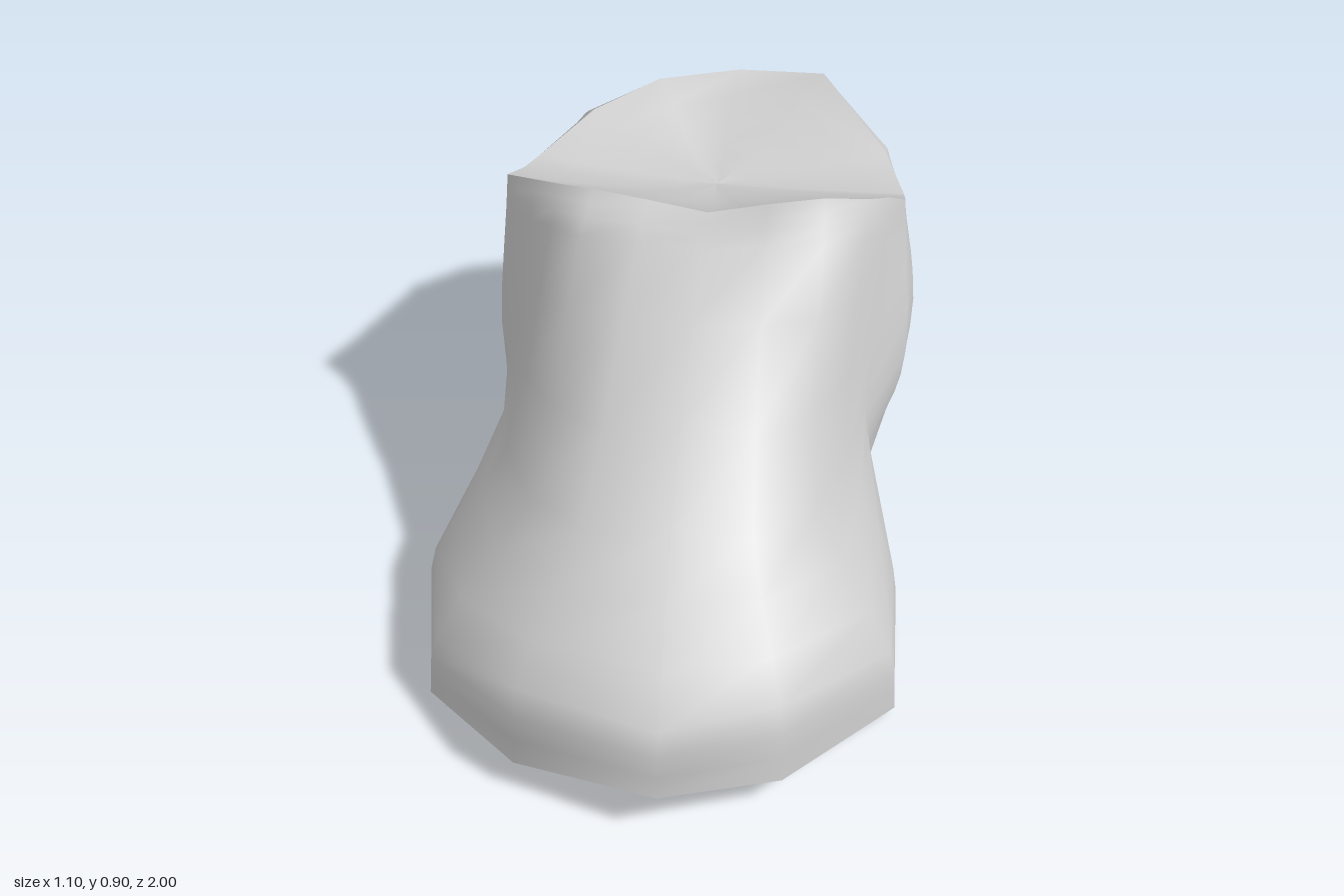
import * as THREE from 'three';

// Loops run toe -> left side (+x) -> heel -> right side (-x), one [x, y, z] per column.
const sole = [
  [.03, .125, 1], [.28, .085, .9], [.52, .03, .63], [.525, .015, .36], [.45, 0, 0],
  [.4, .02, -.18], [.44, .1, -.29], [.47, .035, -.41], [.465, .02, -.65], [.35, .03, -.87],
  [.1, .04, -1], [-.2, .03, -.9], [-.36, .02, -.64], [-.39, .035, -.41], [-.41, .1, -.29],
  [-.38, .02, -.18], [-.45, 0, 0], [-.55, .015, .37], [-.5, .03, .66], [-.28, .08, .89],
];
const waist = [
  [.03, .49, .6], [.2, .46, .58], [.33, .45, .46], [.395, .43, .24], [.44, .42, .03],
  [.53, .44, -.12], [.55, .49, -.28], [.55, .48, -.41], [.5, .42, -.66], [.35, .36, -.86],
  [.1, .36, -.937], [-.2, .36, -.868], [-.4, .41, -.62], [-.45, .42, -.42], [-.455, .42, -.31],
  [-.45, .42, -.2], [-.385, .43, .02], [-.37, .4, .25], [-.29, .44, .46], [-.16, .47, .59],
];
const rim = [
  [.06, .85, -.06], [.19, .88, -.055], [.32, .905, -.05], [.42, .84, -.16], [.47, .81, -.22],
  [.51, .775, -.27], [.513, .735, -.35], [.515, .7, -.42], [.47, .735, -.56], [.31, .87, -.7],
  [.1, .85, -.745], [-.1, .845, -.69], [-.26, .785, -.63], [-.38, .735, -.48], [-.4, .77, -.36],
  [-.42, .82, -.24], [-.35, .84, -.19], [-.28, .86, -.14], [-.2, .885, -.085], [-.07, .87, -.07],
];

// Surface through closed rows of points
function skin(rows) {
  const n = rows[0].length, index = [];
  for (let r = 0; r < rows.length - 1; r++)
    for (let i = 0; i < n; i++) {
      const a = r * n + i, b = r * n + (i + 1) % n;
      index.push(a, b, b + n, a, b + n, a + n);
    }
  return indexed(rows.flat(), index);
}

function indexed(points, index) {
  const geo = new THREE.BufferGeometry().setFromPoints(points);
  geo.setIndex(index);
  geo.computeVertexNormals();
  return geo;
}

export function createModel() {
  const group = new THREE.Group();
  group.name = 'shoe';
  const add = (name, geo) => {
    const mesh = new THREE.Mesh(geo, new THREE.MeshStandardMaterial({ color: 0xcccccc }));
    mesh.name = name;
    group.add(mesh);
  };
  const toVectors = loop => loop.map(p => new THREE.Vector3(...p));
  const S = toVectors(sole), W = toVectors(waist), R = toVectors(rim), n = S.length;

  // Upper: each column rises over a low side wall, the waist and a shoulder to the rim
  const columns = S.map((s, i) => {
    const toe = s.z > 0.8, front = s.z > 0.1, heel = s.z < -0.6;
    const wall = s.clone().lerp(W[i], front ? 0.1 : s.z > -0.1 || heel ? 0.25 : 0.75);
    wall.y = toe ? 0.27 : front ? 0.18 : 0.26;
    const shoulder = W[i].clone().lerp(R[i], 0.8);
    if (front) shoulder.y += toe ? 0.055 : 0.03;
    if (heel) shoulder.add(new THREE.Vector3(0, 0.05, -0.02));
    return new THREE.CatmullRomCurve3([s, wall, W[i], shoulder, R[i]]);
  });
  const rows = [];
  for (let r = 0; r <= 12; r++) rows.push(columns.map(c => c.getPoint(r / 12)));
  add('upper', skin(rows));

  // Opening: saddle-shaped fill dipping between the tongue and the heel
  const centre = new THREE.Vector3(.06, .69, -.45);
  const rings = [1, .8, .6, .4, .2, 0].map(s => R.map(p => {
    const v = centre.clone().lerp(p, s);
    v.y = centre.y + (p.y - centre.y) * s ** 1.5;
    return v;
  }));
  add('opening', skin(rings));

  // Sole: strips across the foot, with the arch notch in front of the heel
  const strips = [];
  for (let i = 0; i < n / 2; i++) {
    const a = i, b = i + 1, c = n - i - 1, d = (n - i) % n;
    if (c !== b) strips.push(c, b, a);
    if (d !== a) strips.push(d, c, a);
  }
  add('sole', indexed(S, strips));

  return group;
}
